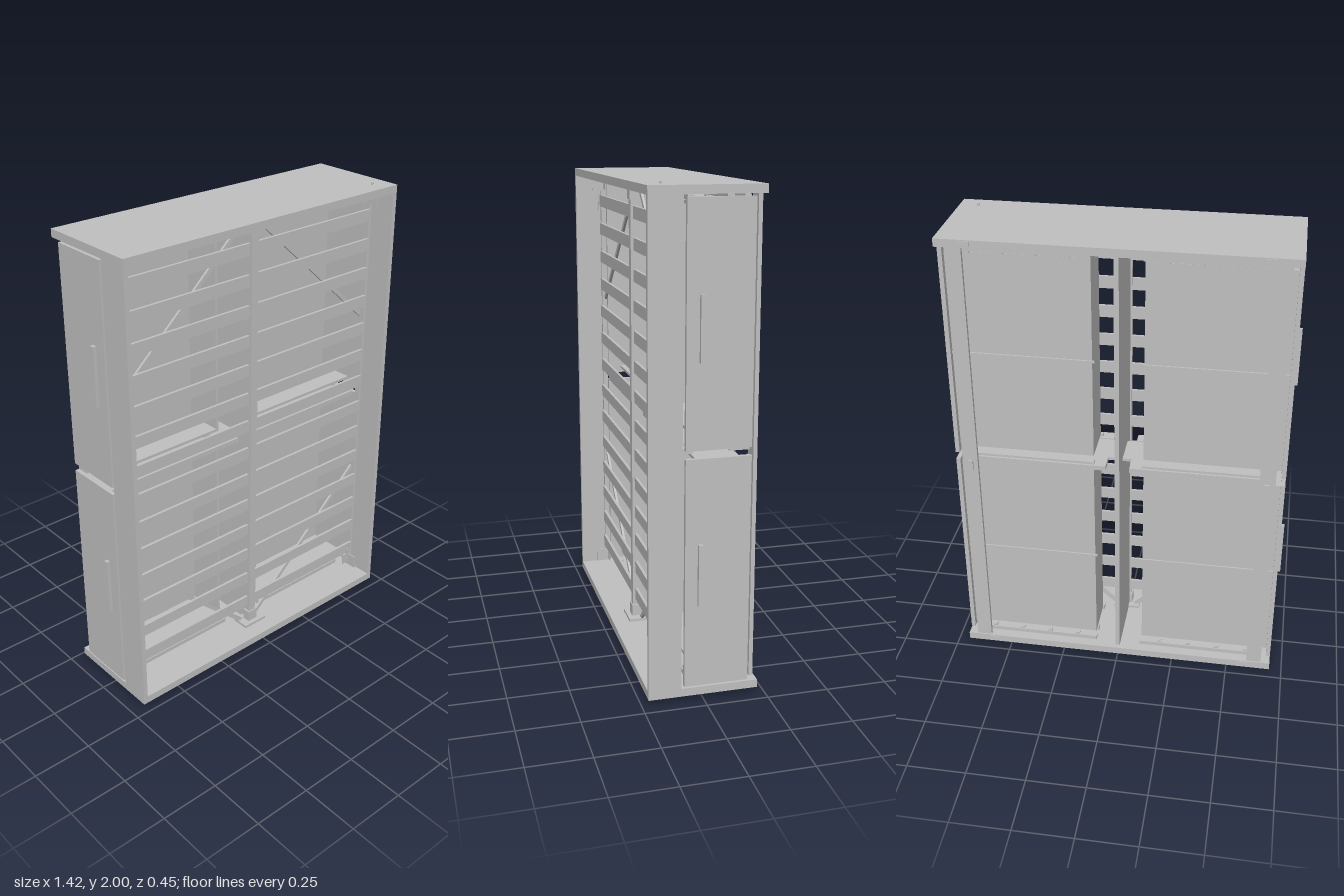
import * as THREE from 'three';

export function createModel() {
  const model = new THREE.Group();
  const grey = new THREE.MeshStandardMaterial({ color: 0xc0c0c0 });
  grey.name = 'plain grey';

  // box given by its limits on each axis
  function box(name, x0, x1, y0, y1, z0, z1, parent = model) {
    const m = new THREE.Mesh(new THREE.BoxGeometry(Math.abs(x1 - x0), y1 - y0, z1 - z0), grey);
    m.position.set((x0 + x1) / 2, (y0 + y1) / 2, (z0 + z1) / 2);
    m.name = name;
    parent.add(m);
    return m;
  }
  // flat bar between two points in the xy plane
  function bar(name, ax, ay, bx, by, w, z0, z1) {
    const m = new THREE.Mesh(new THREE.BoxGeometry(Math.hypot(bx - ax, by - ay), w, z1 - z0), grey);
    m.position.set((ax + bx) / 2, (ay + by) / 2, (z0 + z1) / 2);
    m.rotation.z = Math.atan2(by - ay, bx - ax);
    m.name = name;
    model.add(m);
  }
  function pin(name, x, y, z, r, h) {
    const m = new THREE.Mesh(new THREE.CylinderGeometry(r, r, h, 10), grey);
    m.position.set(x, y, z);
    m.name = name;
    model.add(m);
  }

  // end boards
  box('topBoard', -0.695, 0.695, 1.957, 1.99, -0.222, 0.222);
  box('bottomBoard', -0.695, 0.695, 0.02, 0.053, -0.222, 0.222);
  pin('topScrew', 0.615, 1.99, 0.155, 0.005, 0.02);
  pin('bottomScrew', -0.62, 0.01, 0.155, 0.005, 0.02);
  pin('topBolt', -0.622, 1.85, 0.13, 0.003, 0.1);
  pin('bottomBolt', 0.622, 0.16, 0.13, 0.003, 0.1);

  // middle partition with its cap
  box('middlePartition', -0.01, 0.01, 0.053, 1.957, -0.2, 0.1);
  box('middleBeam', -0.017, 0.017, 0.053, 1.957, 0.1, 0.125);
  for (const y of [0.053, 1.945]) {
    box('beamFoot', -0.06, 0.06, y, y + 0.012, 0.07, 0.15);
    const yb = y < 1 ? 0.065 : 1.895;
    box('beamSocket', -0.025, 0.025, yb, yb + 0.05, 0.095, 0.13);
  }

  for (const s of [-1, 1]) {
    // outer rails and slat ledges
    box('sideRail', s * 0.675, s * 0.695, 0.053, 1.957, 0.09, 0.222);
    box('slatLedge', s * 0.66, s * 0.675, 0.06, 1.95, 0.085, 0.108);
    box('backStrip', s * 0.59, s * 0.655, 0.053, 1.957, -0.216, -0.2);
    box('stripPlate', s * 0.61, s * 0.63, 0.965, 1.01, -0.224, -0.216);
    for (const y of [0.036, 1.974])
      box('endPlate', s * 0.555, s * 0.595, y - 0.012, y + 0.012, -0.226, -0.222);

    // slats
    for (let i = 0; i < 14; i++) {
      const y = 0.167 + i * 0.1289;
      box('slat', s * 0.017, s * 0.664, y - 0.026, y + 0.026, 0.102, 0.114);
    }

    // diagonal braces and corner brackets, mirrored about mid height
    for (const v of [-1, 1]) {
      const Y = d => 1.005 + v * d;
      bar('diagonalBrace', s * 0.04, Y(0.945), s * 0.655, Y(0.385), 0.018, 0.088, 0.098);
      const yc = Y(0.915);
      box('cornerBracket', s * 0.63, s * 0.672, yc - 0.025, yc + 0.025, 0.09, 0.096);
      box('cornerBracketSide', s * 0.655, s * 0.66, yc - 0.03, yc + 0.03, 0.09, 0.15);

      // runners fixed to the end board
      for (const z of [-0.185, -0.12, 0.03]) {
        const yr = Y(0.937);
        box('endRunner', s * 0.1, s * 0.62, yr - 0.009, yr + 0.009, z, z + 0.025);
        for (let k = 0; k < 4; k++) {
          const x = 0.18 + k * 0.13, yk = Y(0.924);
          box('runnerClip', s * x, s * (x + 0.02), yk - 0.005, yk + 0.005, z + 0.004, z + 0.02);
        }
      }
    }

    // open frame between upper and lower drawers
    box('dividerFrontBoard', s * 0.05, s * 0.64, 0.995, 1.015, 0.035, 0.085);
    box('dividerBackBoard', s * 0.05, s * 0.64, 0.995, 1.015, -0.19, -0.11);
    box('dividerInnerBoard', s * 0.01, s * 0.12, 0.999, 1.011, -0.11, 0.035);
    for (const z of [-0.18, 0.045]) for (const y of [0.985, 1.015])
      box('dividerRunner', s * 0.1, s * 0.6, y, y + 0.01, z, z + 0.02);

    // drawers, open towards the front
    for (const [f0, f1, b0, b1] of [[0.06, 0.988, 0.085, 0.968], [1.02, 1.948, 1.042, 1.92]]) {
      const drawer = new THREE.Group();
      drawer.name = 'drawer';
      model.add(drawer);
      const mid = (f0 + f1) / 2;
      box('drawerFace', s * 0.677, s * 0.695, f0, f1, -0.18, 0.078, drawer);
      box('drawerBottom', s * 0.105, s * 0.677, b0, b1, -0.155, -0.147, drawer);
      box('drawerInnerWall', s * 0.105, s * 0.117, b0, b1, -0.147, 0.02, drawer);
      box('drawerLowWall', s * 0.117, s * 0.677, b0, b0 + 0.012, -0.147, 0.02, drawer);
      box('drawerHighWall', s * 0.117, s * 0.677, b1 - 0.012, b1, -0.147, 0.02, drawer);
      box('drawerBatten', s * 0.095, s * 0.677, mid - 0.004, mid + 0.004, -0.162, -0.155, drawer);
      // pull handle
      const h = mid - 0.005 + (f0 < 1 ? 0.006 : 0);
      box('handle', s * 0.695, s * 0.71, h - 0.125, h + 0.125, 0.01, 0.028, drawer);
    }
  }
  return model;
}
